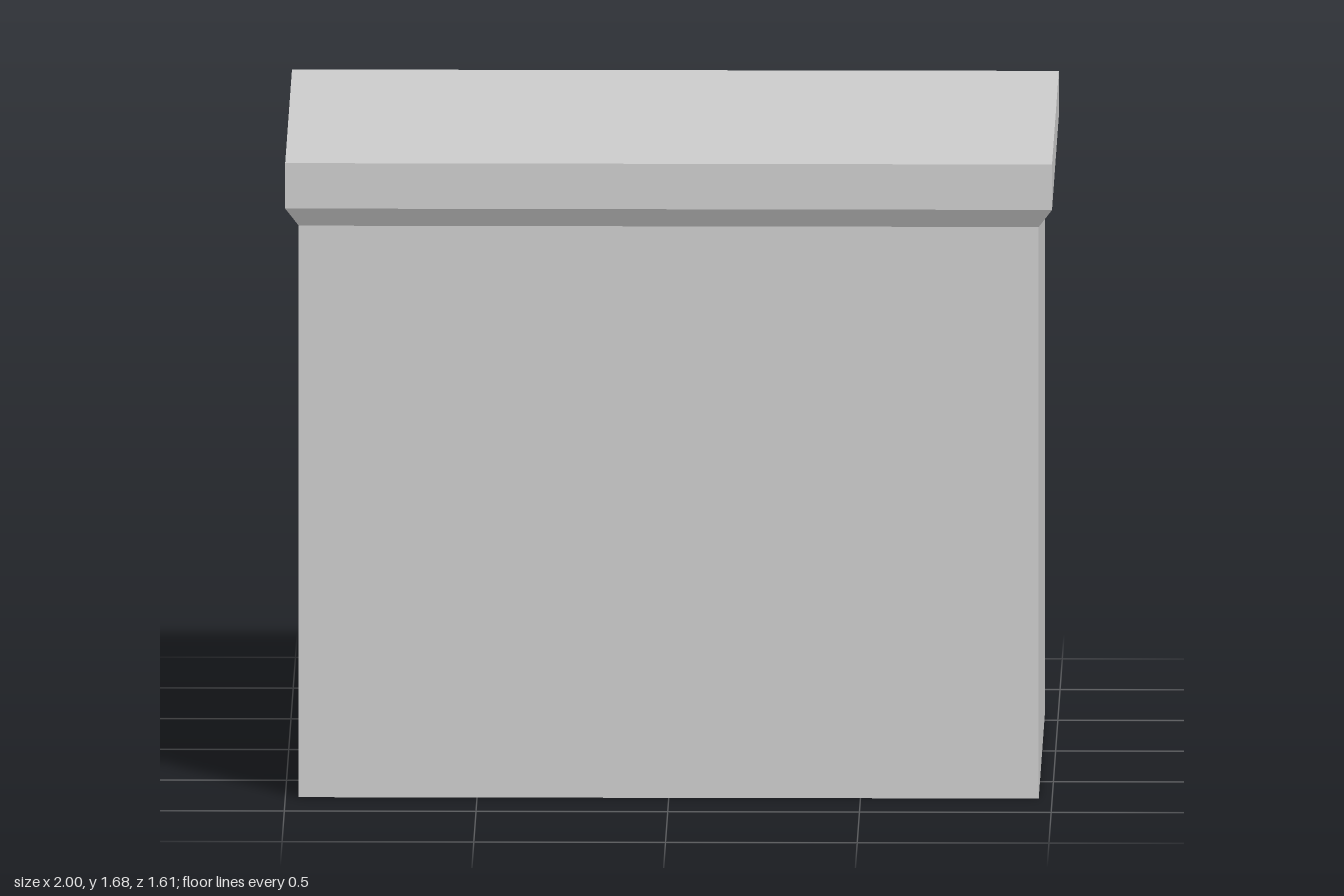
import * as THREE from 'three';
import { ConvexGeometry } from 'three/addons/geometries/ConvexGeometry.js';

const grey = new THREE.MeshStandardMaterial({ color: 0xcccccc, flatShading: true });

const BODY_TOP = 1.51;
const BACK = -0.685;        // carcass face carrying the drawer and door
const PANEL_FACE = -0.72;

// Carcass plan [x, z], with chamfered corners on the drawer side
const plan = [
  [0.965, 0.775], [0.965, -0.6], [0.865, BACK],
  [-0.865, BACK], [-0.965, -0.6], [-0.965, 0.775],
];

function part(name, geometry) {
  const mesh = new THREE.Mesh(geometry, grey);
  mesh.name = name;
  return mesh;
}

function bodyGeometry() {
  const shape = new THREE.Shape(plan.map(([x, z]) => new THREE.Vector2(x, -z)));
  return new THREE.ExtrudeGeometry(shape, { depth: BODY_TOP, bevelEnabled: false }).rotateX(-Math.PI / 2);
}

// Slab whose underside flares out from the carcass plan
function worktopGeometry() {
  const points = plan.map(([x, z]) => new THREE.Vector3(x, BODY_TOP, z));
  for (const y of [1.56, 1.68])
    for (const x of [-1, 1])
      for (const z of [-0.72, 0.805]) points.push(new THREE.Vector3(x, y, z));
  return new ConvexGeometry(points);
}

// Panel with bevelled edges: base y0..y1, face f0..f1
function panelGeometry(y0, y1, f0, f1) {
  const geometry = new THREE.BoxGeometry(1, 1, 1).toNonIndexed();
  const pos = geometry.attributes.position;
  for (let i = 0; i < pos.count; i++) {
    const face = pos.getZ(i) < 0;
    const x = Math.sign(pos.getX(i)) * (face ? 0.83 : 0.865);
    const y = pos.getY(i) > 0 ? (face ? f1 : y1) : (face ? f0 : y0);
    pos.setXYZ(i, x, y, face ? PANEL_FACE : BACK);
  }
  geometry.computeVertexNormals();
  return geometry;
}

// Bow handle: octagonal rings, thin at the feet and thick along the grip
function handleGeometry() {
  const section = [[0, 0.4], [0.35, 1], [0.7, 1], [1, 0.5], [1, -0.5], [0.7, -1], [0.35, -1], [0, -0.4]];
  const half = [
    { inner: [0.125, PANEL_FACE], outer: [0.153, PANEL_FACE], h: 0.012 },
    { inner: [0.092, -0.758], outer: [0.1, -0.8], h: 0.028 },
  ];
  const flip = ({ inner, outer, h }) => ({ inner: [-inner[0], inner[1]], outer: [-outer[0], outer[1]], h });
  const rings = [flip(half[0]), flip(half[1]), half[1], half[0]];
  const positions = [];
  const index = [];
  const n = section.length;
  rings.forEach(({ inner, outer, h }, i) => {
    section.forEach(([t, s], j) => {
      positions.push(
        THREE.MathUtils.lerp(inner[0], outer[0], t), s * h, THREE.MathUtils.lerp(inner[1], outer[1], t));
      if (i === rings.length - 1) return;
      const a = i * n + j, b = i * n + (j + 1) % n;
      index.push(a, a + n, b + n, a, b + n, b);
    });
  });
  const geometry = new THREE.BufferGeometry();
  geometry.setAttribute('position', new THREE.Float32BufferAttribute(positions, 3));
  geometry.setIndex(index);
  const flat = geometry.toNonIndexed();
  flat.computeVertexNormals();
  return flat;
}

export function createModel() {
  const model = new THREE.Group();
  model.name = 'cabinet';
  model.add(
    part('body', bodyGeometry()),
    part('worktop', worktopGeometry()),
    part('drawerFront', panelGeometry(1.228, 1.474, 1.246, 1.458)),
    part('door', panelGeometry(0, 1.22, 0.04, 1.18)),
  );

  // Handles sit slightly off centre
  const handle = handleGeometry();
  for (const [name, y] of [['drawerHandle', 1.41], ['doorHandle', 1.043]]) {
    const mesh = part(name, handle);
    mesh.position.set(-0.024, y, 0);
    model.add(mesh);
  }
  return model;
}
